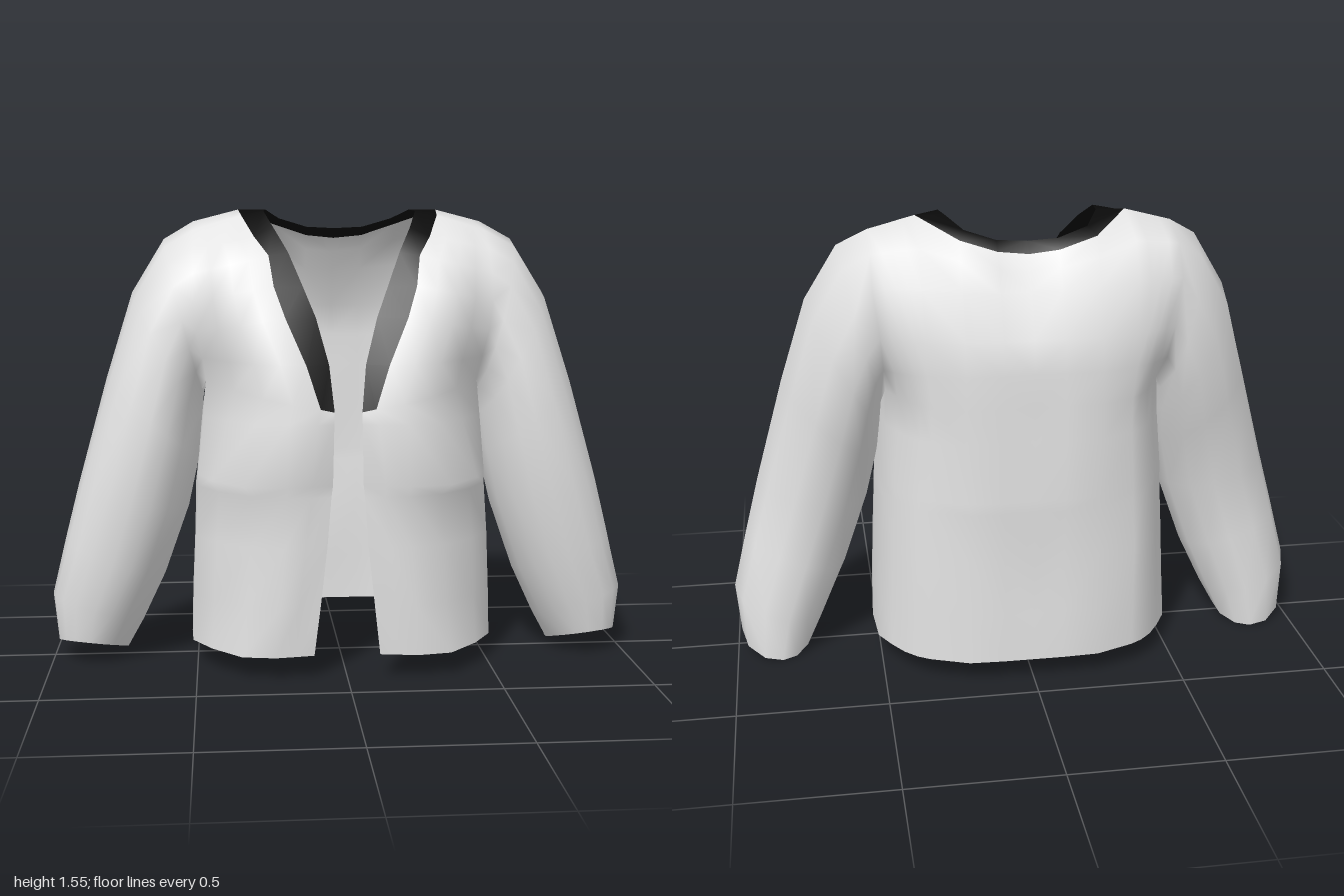
import * as THREE from 'three';
import { mergeVertices } from 'three/addons/utils/BufferGeometryUtils.js';

const cloth = new THREE.MeshStandardMaterial({ color: 0xe4e4e4, side: THREE.DoubleSide });
cloth.name = 'light cloth';
const black = new THREE.MeshStandardMaterial({ color: 0x0a0a0a, side: THREE.DoubleSide });
black.name = 'black trim';

const mix = (a, b, t) => a.map((v, i) => v + (b[i] - v) * t);
// three points between a and b, pushed along z by a bulge
const span = (a, b, bulge) => [0.25, 0.5, 0.75].map((t) => {
  const p = mix(a, b, t);
  p[2] += bulge * Math.sin(Math.PI * t);
  return p;
});

// neckline edge and outer edge of the trim, from the front opening to the centre back
const neckIn = [[.045, .9, .375], [.06, 1.05, .335], [.1, 1.2, .295], [.14, 1.3, .25], [.185, 1.41, .19], [.23, 1.49, .1],
  [.26, 1.545, 0], [.25, 1.55, -.1], [.2, 1.52, -.21], [.1, 1.49, -.235], [0, 1.485, -.24]];
const neckOut = [[.09, .91, .38], [.135, 1.05, .36], [.2, 1.2, .315], [.235, 1.3, .26], [.25, 1.4, .21], [.295, 1.46, .12],
  [.335, 1.53, 0], [.345, 1.55, -.1], [.22, 1.5, -.27], [.1, 1.46, -.272], [0, 1.45, -.275]];
// armhole: front edge going up, back edge going up, armpit
const armFront = [[.46, .98, .12], [.47, 1.06, .17], [.49, 1.15, .19], [.5, 1.25, .2], [.5, 1.34, .175], [.5, 1.42, .11],
  [.5, 1.48, .01], [.5, 1.51, -.1]];
const armBack = [[.46, .98, -.15], [.47, 1.08, -.25], [.48, 1.2, -.3], [.5, 1.36, -.3], [.5, 1.46, -.24]];
const armpit = [.46, .96, -.02];

// chest panel between trim and armhole
const chestBulge = [.12, .08, .05, .04, .035, .03, .01, 0];
const chest = armFront.map((a, i) => [neckOut[i], ...span(neckOut[i], a, chestBulge[i]), a]);

// back panel, each row from armhole to centre back
const backKeys = [
  [[.33, .98, -.36], [.22, .98, -.41], [.1, .98, -.415], [0, .98, -.41]],
  [[.34, 1.09, -.37], [.22, 1.09, -.41], [.1, 1.09, -.415], [0, 1.09, -.41]],
  [[.34, 1.2, -.37], [.22, 1.2, -.4], [.1, 1.2, -.407], [0, 1.2, -.405]],
  [[.35, 1.36, -.335], [.22, 1.35, -.34], [.1, 1.34, -.337], [0, 1.34, -.335]],
  [[.35, 1.48, -.27], [.22, 1.44, -.305], [.1, 1.41, -.302], [0, 1.4, -.3]],
];
const backBulge = [-.035, -.02, -.01, 0, 0];
const back = backKeys.map((k, i) => [armBack[i], ...span(armBack[i], k[0], backBulge[i]), ...k]);
back.push([...chest[7].slice().reverse(), ...neckOut.slice(8)]);

// lower body rows: height, then x,z from the opening round the side to the centre back
const lowerRows = [
  [.08, [.11, .34, .17, .35, .24, .36, .35, .34, .45, .23, .515, .12, .52, 0, .51, -.16, .35, -.36, .22, -.41, .1, -.415, 0, -.415]],
  [.25, [.09, .355, .16, .36, .225, .375, .33, .335, .44, .23, .51, .12, .515, 0, .5, -.16, .35, -.36, .22, -.41, .1, -.415, 0, -.41]],
  [.45, [.068, .36, .14, .375, .21, .375, .32, .345, .43, .25, .5, .13, .505, 0, .49, -.16, .35, -.36, .22, -.405, .1, -.41, 0, -.405]],
  [.62, [.055, .365, .12, .375, .2, .38, .31, .34, .42, .24, .49, .12, .5, 0, .48, -.16, .34, -.36, .22, -.41, .1, -.42, 0, -.415]],
  [.66, [.05, .37, .12, .4, .2, .418, .34, .385, .445, .25, .49, .12, .495, 0, .48, -.16, .34, -.36, .22, -.41, .1, -.42, 0, -.415]],
  [.86, [.046, .375, .1, .388, .195, .4, .3, .36, .39, .26, .47, .13, .475, 0, .465, -.15, .33, -.36, .22, -.41, .1, -.42, 0, -.41]],
];
const lower = lowerRows.map(([y, xz]) => {
  const p = [];
  for (let i = 0; i < xz.length; i += 2) p.push([xz[i], y, xz[i + 1]]);
  return [...p.slice(0, 8), ...span(p[7], p[8], -.035), ...p.slice(8)];
});
lower.push([neckIn[0], ...chest[0], armpit, ...back[0]]);

// sleeve rings: outer x,y, inner x,y, front z, back z, forward lift
const angles = [155, 130, 110, 90, 65, 45, 25, 0, -35, -70, -100, -125, -155, -180];
const ring = ([ox, oy, ix, iy, zf, zb, lift]) => {
  const pts = angles.map((deg) => {
    const a = THREE.MathUtils.degToRad(deg), t = (1 + Math.cos(a)) / 2, s = Math.sin(a);
    return [ix + (ox - ix) * t, iy + (oy - iy) * t + lift * s, (zf + zb) / 2 + s * (zf - zb) / 2];
  });
  return [...pts, pts[0]];
};
const armhole = [...armFront, ...armBack.slice().reverse(), armpit, armFront[0]];
const sleeve = [
  [.985, .06, .745, .03, .15, -.15, .04],
  [1, .23, .69, .13, .175, -.155, .02],
  [.95, .43, .61, .3, .205, -.158, 0],
  [.9, .62, .525, .54, .235, -.165, 0],
  [.8, .98, .485, .72, .25, -.235, 0],
  [.71, 1.27, .475, .84, .23, -.295, 0],
  [.6, 1.45, .47, .92, .21, -.305, 0],
].map(ring);
sleeve.push(armhole);
// dark band inside the cuff
const cuffLining = [
  [.972, .09, .755, .06, .135, -.135, .04],
  [.978, .13, .745, .09, .14, -.138, .035],
].map(ring);

const trim = neckIn.map((p, i) => [p, neckOut[i]]);

export function createModel() {
  const group = new THREE.Group();
  const positions = [], parts = [];

  // add one patch, optionally mirrored to the other side
  function patch(name, rows, material, mirror) {
    const start = positions.length / 3;
    const put = (...pts) => {
      if (mirror) pts.reverse();
      pts.forEach(([x, y, z]) => positions.push(mirror && x ? -x : x, y, z));
    };
    for (let r = 0; r + 1 < rows.length; r++) {
      for (let c = 0; c + 1 < rows[r].length; c++) {
        const a = rows[r][c], b = rows[r][c + 1], d = rows[r + 1][c], e = rows[r + 1][c + 1];
        put(a, b, d);
        put(b, e, d);
      }
    }
    parts.push({ name, material, start, end: positions.length / 3 });
  }

  for (const mirror of [false, true]) {
    const side = mirror ? 'right' : 'left';
    patch(side + 'LowerBody', lower, cloth, mirror);
    patch(side + 'Chest', chest, cloth, mirror);
    patch(side + 'Back', back, cloth, mirror);
    patch(side + 'Sleeve', sleeve, cloth, mirror);
    patch(side + 'NeckTrim', trim, black, mirror);
    patch(side + 'CuffLining', cuffLining, black, mirror);
  }

  // weld all patches so shading runs smoothly across the seams
  const soup = new THREE.BufferGeometry();
  soup.setAttribute('position', new THREE.Float32BufferAttribute(positions, 3));
  const shell = mergeVertices(soup, 1e-4);
  shell.computeVertexNormals();
  const index = Array.from(shell.index.array);

  for (const { name, material, start, end } of parts) {
    const geo = new THREE.BufferGeometry();
    geo.setAttribute('position', shell.attributes.position);
    geo.setAttribute('normal', shell.attributes.normal);
    geo.setIndex(index.slice(start, end));
    const mesh = new THREE.Mesh(geo, material);
    mesh.name = name;
    group.add(mesh);
  }
  return group;
}
